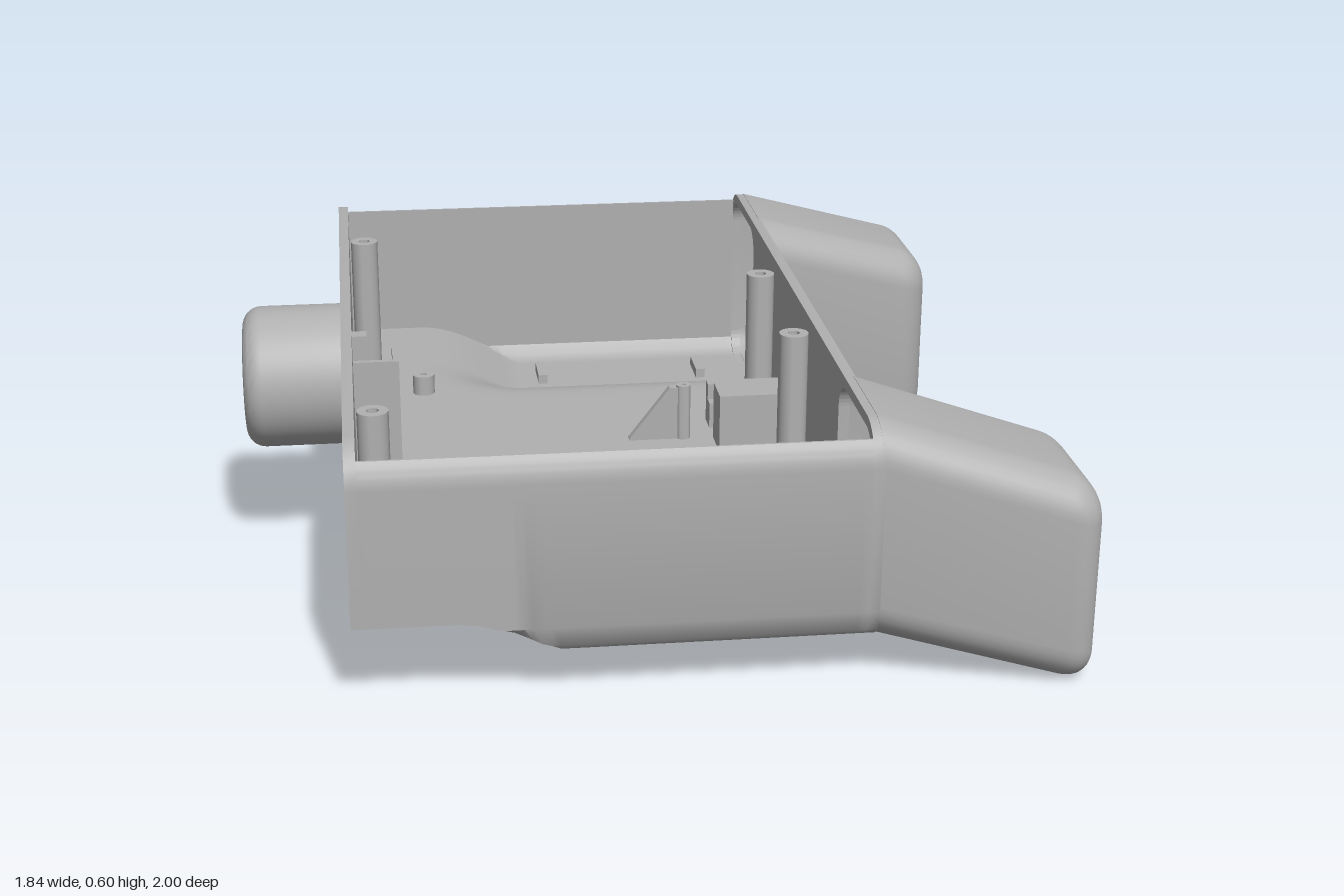
import * as THREE from 'three';
import { toCreasedNormals } from 'three/addons/utils/BufferGeometryUtils.js';

const grey = new THREE.MeshStandardMaterial({ color: 0xb0b0b0 });
grey.name = 'plain grey';

const X0 = -0.685, X1 = 0.445, WALL = 0.025, HALF = 0.945, INNER = 0.917;

// Skins a list of closed rings, each an array of [x, y, z]
function loft(rings, crease = 0.6) {
  const n = rings[0].length, index = [];
  for (let i = 0; i < rings.length - 1; i++) {
    for (let j = 0; j < n; j++) {
      const k = (j + 1) % n, a = i * n + j, b = a + n, c = i * n + k, d = c + n;
      index.push(a, b, c, c, b, d);
    }
  }
  const g = new THREE.BufferGeometry();
  g.setAttribute('position', new THREE.Float32BufferAttribute(rings.flat(2), 3));
  g.setIndex(index);
  return toCreasedNormals(g, crease);
}

// Height of the floor: flat, sinking into a trough at each end; t lifts it to the inner face
function floorY(x, z, t) {
  const az = Math.abs(z);
  const d = Math.hypot(Math.max(0, -0.2 - x), Math.max(0, 0.62 - az));
  const k = Math.pow(Math.min(1, d / 0.27), 0.75);
  const trough = 0.1 + 0.1 * k * k * (3 - 2 * k);
  const r = 0.08 - t, e = Math.min(r, Math.max(0, az - 0.865));
  return Math.max(trough, 0.1 + r - Math.sqrt(r * r - e * e)) + t;
}

// Rounded upper corner of the outer wall on the +z side, as [z, y], up to angle end
function topCorner(end) {
  const pts = [];
  for (let i = 0; i <= 8; i++) {
    const a = (end * i) / 8;
    pts.push([HALF - 0.09 + 0.09 * Math.cos(a), 0.51 + 0.09 * Math.sin(a)]);
  }
  return pts;
}
const mirrorBack = (pts) => pts.map(([z, y]) => [-z, y]).reverse();

// Floor and the two long side walls in one skin
function trayShell() {
  const rings = [], N = 108, ROWS = 56;
  const corner = topCorner(Math.asin(0.06 / 0.09));
  for (let i = 0; i <= ROWS; i++) {
    const x = X0 + 0.005 + ((X1 - X0 - 0.01) * i) / ROWS;
    // keep the skin between the end walls
    const xc = Math.min(X1 - WALL, Math.max(X0 + WALL, x));
    const ring = [];
    for (let j = 0; j <= N; j++) {
      const z = HALF * (2 * j / N - 1);
      ring.push([z, floorY(xc, z, 0)]);
    }
    ring.push(...corner, [INNER, 0.57]);
    for (let j = 0; j <= N; j++) {
      const z = INNER * (1 - 2 * j / N);
      ring.push([z, floorY(xc, z, WALL)]);
    }
    ring.push([-INNER, 0.57], ...mirrorBack(corner));
    rings.push(ring.map(([z, y]) => [xc, y, z]));
  }
  return loft(rings);
}

// Rounded rectangle path
function roundRect(x0, y0, x1, y1, r) {
  const p = new THREE.Path();
  p.absarc(x1 - r, y1 - r, r, 0, Math.PI / 2);
  p.absarc(x0 + r, y1 - r, r, Math.PI / 2, Math.PI);
  p.absarc(x0 + r, y0 + r, r, Math.PI, Math.PI * 1.5);
  p.absarc(x1 - r, y0 + r, r, Math.PI * 1.5, Math.PI * 2);
  return p;
}

// Full-height end wall standing at x, with holes drawn in (-z, y)
function endWall(x, holes) {
  const pts = [];
  for (let j = 0; j <= 108; j++) {
    const z = HALF * (2 * j / 108 - 1);
    pts.push([z, floorY(x, z, 0)]);
  }
  const corner = topCorner(Math.PI / 2);
  pts.push(...corner, ...mirrorBack(corner));
  const shape = new THREE.Shape(pts.map(([z, y]) => new THREE.Vector2(z, y)));
  shape.holes.push(...holes);
  const g = new THREE.ExtrudeGeometry(shape, { depth: WALL, bevelEnabled: false, curveSegments: 24 });
  return toCreasedNormals(g.rotateY(Math.PI / 2).translate(x, 0, 0), 0.6);
}

// Hollow arm, leaning outward and down from the end wall; side is the sign of z
function arm(side) {
  const ring = (x, inset, shrink = 1) => {
    const k = (x - 0.445) / 0.405;
    const z0 = 0.545 + 0.07 * k + inset, z1 = 0.945 + 0.055 * k - inset;
    const y0 = 0.1 - 0.1 * k + inset, y1 = 0.6 - 0.12 * k - inset;
    const r = Math.max(0.02, 0.09 - inset), cz = side * (z0 + z1) / 2, cy = (y0 + y1) / 2;
    const hz = (z1 - z0) / 2 - r, hy = (y1 - y0) / 2 - r, pts = [];
    for (let q = 0; q < 4; q++) {
      const sz = q === 0 || q === 3 ? 1 : -1, sy = q < 2 ? 1 : -1;
      for (let i = 0; i <= 8; i++) {
        const a = (q + i / 8) * Math.PI / 2;
        pts.push([x, cy + shrink * (sy * hy + r * Math.sin(a)), cz + shrink * (sz * hz + r * Math.cos(a))]);
      }
    }
    return pts;
  };
  const tip = (t) => {
    const out = [], r = 0.07 - t;
    for (let i = 0; i <= 8; i++) {
      const a = (i / 8) * Math.PI / 2;
      out.push(ring(0.85 + r * Math.sin(a), t + r * (1 - Math.cos(a))));
    }
    out.push(ring(0.85 + r, 0.07, 0.001));
    return out;
  };
  return loft([...tip(WALL).reverse(), ring(X1 - 0.005, WALL), ring(X1 - 0.005, 0), ...tip(0)], 0.5);
}

// Hollow round housing with a softened closed end
function housing() {
  const pts = [[0, 0.21], [0.145, 0.21], [0.145, 0], [0.17, 0]];
  for (let i = 0; i <= 8; i++) {
    const a = (i / 8) * Math.PI / 2;
    pts.push([0.125 + 0.045 * Math.cos(a), 0.19 + 0.045 * Math.sin(a)]);
  }
  pts.push([0, 0.235]);
  const g = new THREE.LatheGeometry(pts.map(([r, y]) => new THREE.Vector2(r, y)), 56);
  return toCreasedNormals(g.rotateZ(Math.PI / 2).translate(X0, 0.43, 0), 0.6);
}

// Post with a small blind screw hole
function post(r, hole, y0, y1) {
  const pts = [[r, y0], [r, y1], [hole, y1], [hole, y1 - 0.03], [0, y1 - 0.03]];
  return toCreasedNormals(new THREE.LatheGeometry(pts.map(([a, y]) => new THREE.Vector2(a, y)), 24), 0.6);
}

export function createModel() {
  const model = new THREE.Group();
  model.name = 'openHousing';
  const add = (name, geometry, x = 0, y = 0, z = 0) => {
    const m = new THREE.Mesh(geometry, grey);
    m.name = name;
    m.position.set(x, y, z);
    model.add(m);
  };
  const box = (name, x0, x1, y0, y1, z0, z1) =>
    add(name, new THREE.BoxGeometry(x1 - x0, y1 - y0, z1 - z0), (x0 + x1) / 2, (y0 + y1) / 2, (z0 + z1) / 2);

  add('trayShell', trayShell());

  // End walls: round opening on one, arm openings and a small port on the other
  const round = new THREE.Path();
  round.absarc(0, 0.43, 0.145, 0, Math.PI * 2);
  add('housingWall', endWall(X0, [round]));
  add('armWall', endWall(X1 - WALL, [
    roundRect(0.57, 0.125, 0.917, 0.575, 0.065),
    roundRect(-0.917, 0.125, -0.57, 0.575, 0.065),
    roundRect(-0.055, 0.3, 0.06, 0.335, 0.016),
    roundRect(-0.085, 0.297, -0.066, 0.338, 0.004),
  ]));

  add('leftArm', arm(1));
  add('rightArm', arm(-1));
  add('roundHousing', housing());

  // Tall screw posts and short stand-offs
  for (const [x, z] of [[-0.62, -0.635], [-0.62, 0.63], [0.38, -0.235], [0.38, 0.23]])
    add('screwPost', post(0.035, 0.014, 0.2, 0.57), x, 0, z);
  for (const [x, z] of [[-0.48, -0.395], [-0.48, 0.385], [-0.065, 0.385]])
    add('standOff', post(0.028, 0.008, 0.19, 0.275), x, 0, z);

  // Bracket beside the round housing
  box('bracketPlate', -0.565, -0.55, 0.21, 0.48, -0.075, 0.07);
  box('bracketSide', -0.665, -0.55, 0.21, 0.48, 0.055, 0.07);
  box('bracketBlock', -0.665, -0.625, 0.21, 0.51, -0.075, -0.035);

  // Port supports against the arm wall
  box('portSupport', 0.225, 0.425, 0.21, 0.33, -0.115, -0.085);
  box('portStep', 0.225, 0.425, 0.21, 0.29, -0.085, -0.055);
  box('portShelf', 0.225, 0.425, 0.21, 0.37, 0.01, 0.11);

  // Sloping fin with a pin at its tall end
  const fin = new THREE.Shape([[0.015, 0.21], [0.15, 0.21], [0.15, 0.36], [0.115, 0.36], [0.015, 0.23]]
    .map(([x, y]) => new THREE.Vector2(x, y)));
  add('fin', new THREE.ExtrudeGeometry(fin, { depth: 0.02, bevelEnabled: false }), 0, 0, -0.01);
  add('finPin', post(0.018, 0.005, 0.21, 0.365), 0.15, 0, 0);

  // Low ribs in the rear trough
  for (const x of [-0.155, 0.285]) box('rib', x, x + 0.025, 0.11, 0.15, -0.8, -0.69);

  return model;
}
